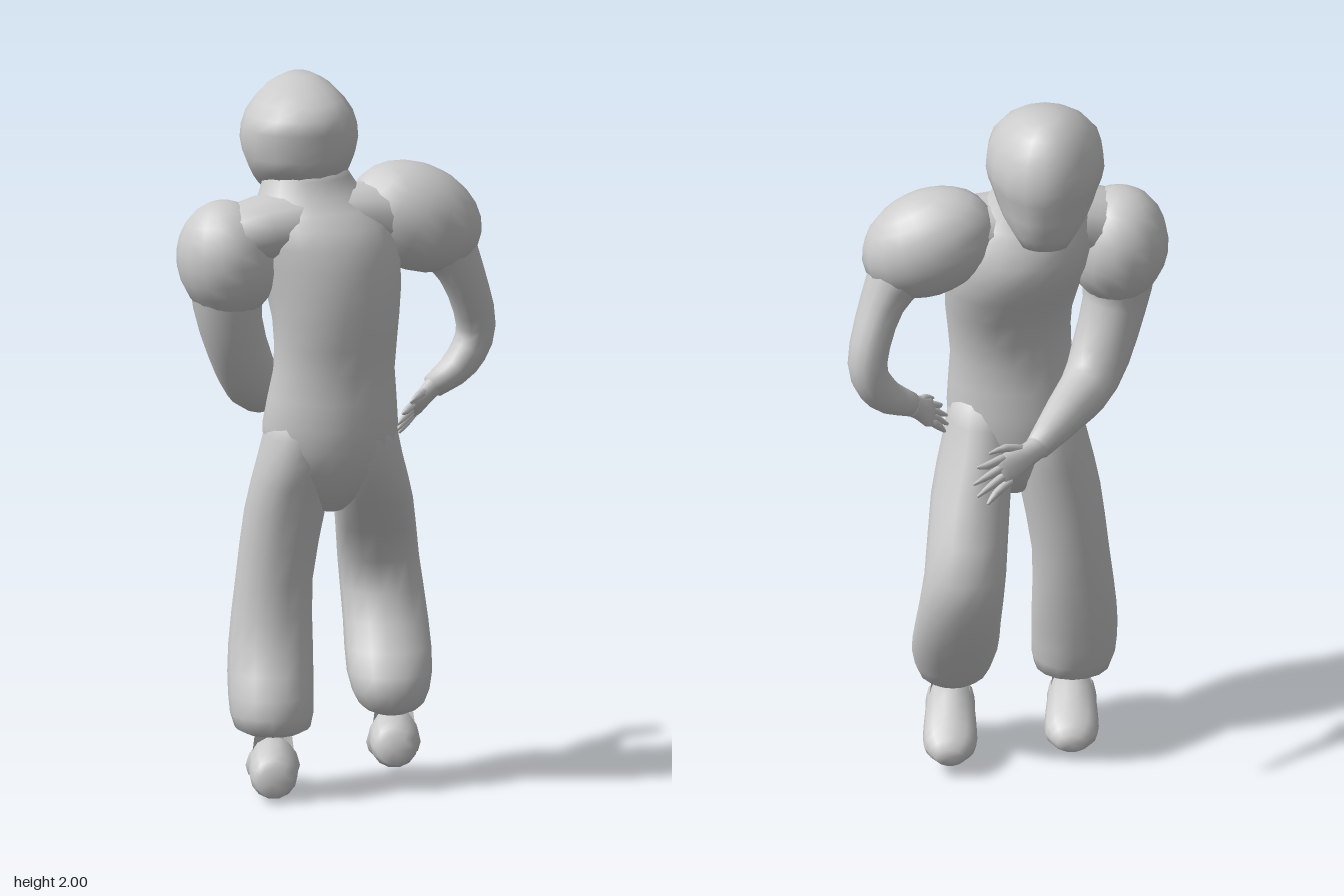
import * as THREE from 'three';

const V = (x, y, z) => new THREE.Vector3(x, y, z);
const UP = V(0, 1, 0), Z = V(0, 0, 1);
const material = new THREE.MeshStandardMaterial({ color: 0xcccccc });

function addMesh(parent, name, geometry) {
  const mesh = new THREE.Mesh(geometry, material);
  mesh.name = name;
  parent.add(mesh);
  return mesh;
}

// Smooth skin over elliptical rings [x, y, z, width, depth, twist].
// Depth runs along ref; without an axis the rings follow the path.
function loft(rings, { ref = Z, axis = null, sides = 14, steps = 2 } = {}) {
  const centres = new THREE.CatmullRomCurve3(rings.map(r => V(r[0], r[1], r[2])), false, 'catmullrom');
  const sizes = new THREE.CatmullRomCurve3(rings.map(r => V(r[3], r[4], r[5] || 0)), false, 'catmullrom');
  const n = (rings.length - 1) * steps;
  const pos = [], idx = [];
  for (let i = 0; i <= n; i++) {
    const c = centres.getPoint(i / n), s = sizes.getPoint(i / n);
    const t = axis || centres.getTangent(i / n);
    const a = V().crossVectors(t, ref).normalize();
    const b = V().crossVectors(a, t).normalize();
    for (let j = 0; j < sides; j++) {
      const u = (j / sides) * Math.PI * 2;
      const p = Math.cos(u) * Math.max(s.x, 0.003), q = Math.sin(u) * Math.max(s.y, 0.003);
      const cs = Math.cos(s.z), sn = Math.sin(s.z);
      const v = c.clone().addScaledVector(a, p * cs + q * sn).addScaledVector(b, q * cs - p * sn);
      pos.push(v.x, v.y, v.z);
    }
  }
  for (let i = 0; i < n; i++) {
    for (let j = 0; j < sides; j++) {
      const k = (j + 1) % sides;
      const p = i * sides + j, q = i * sides + k;
      idx.push(p, p + sides, q, q, p + sides, q + sides);
    }
  }
  // End caps
  const start = pos.length / 3, first = centres.getPoint(0), last = centres.getPoint(1);
  pos.push(first.x, first.y, first.z, last.x, last.y, last.z);
  for (let j = 0; j < sides; j++) {
    const k = (j + 1) % sides;
    idx.push(start, j, k, start + 1, n * sides + k, n * sides + j);
  }
  const g = new THREE.BufferGeometry();
  g.setAttribute('position', new THREE.Float32BufferAttribute(pos, 3));
  g.setIndex(idx);
  g.computeVertexNormals();
  return g;
}

// Flat open hand: palm, four spread fingers and a thumb
function makeHand(name, wrist, tip, spread) {
  const hand = new THREE.Group();
  hand.name = name;
  const at = (f, s) => wrist.clone().lerp(tip, f).addScaledVector(spread, s);
  const ring = (f, s, w, d) => [...at(f, s).toArray(), w, d];
  addMesh(hand, 'palm', loft([
    ring(-0.1, 0, 0.028, 0.032), ring(0.2, 0, 0.022, 0.034),
    ring(0.45, 0, 0.018, 0.044), ring(0.6, 0, 0.011, 0.038)], { ref: spread, sides: 10 }));
  for (let i = 0; i < 4; i++) {
    const s = (i - 1.5) * 0.022;
    const reach = [0.9, 1, 1, 0.88][i];
    addMesh(hand, 'finger', loft([
      ring(0.5, s, 0.012, 0.012), ring(0.75, s * 1.25, 0.011, 0.011),
      ring(reach, s * 1.6, 0.004, 0.004)], { ref: spread, sides: 6 }));
  }
  addMesh(hand, 'thumb', loft([
    ring(0.2, 0.02, 0.012, 0.014), ring(0.42, 0.052, 0.012, 0.012),
    ring(0.66, 0.066, 0.004, 0.004)], { ref: spread, sides: 6 }));
  return hand;
}

// Ankle and rounded shoe, toes towards -z
function makeFoot(name, position, pitch) {
  const foot = new THREE.Group();
  foot.name = name;
  addMesh(foot, 'ankle', loft([
    [0, 0.25, 0.22, 0.045, 0.055], [0, 0.16, 0.215, 0.053, 0.07],
    [0, 0.07, 0.22, 0.066, 0.09]], { axis: UP }));
  addMesh(foot, 'shoe', loft([
    [0, 0.06, 0.328, 0.045, 0.04], [0, 0.075, 0.29, 0.066, 0.066],
    [0, 0.088, 0.21, 0.068, 0.08], [0, 0.07, 0.13, 0.074, 0.065],
    [0, 0.054, 0.07, 0.072, 0.05], [0, 0.045, 0.025, 0.04, 0.026]],
  { ref: UP, axis: V(0, 0, -1) }));
  foot.position.copy(position);
  foot.rotation.x = pitch;
  return foot;
}

function addShoulder(parent, name, centre, size, tilt) {
  const ball = addMesh(parent, name, new THREE.SphereGeometry(1, 16, 12));
  ball.position.copy(centre);
  ball.scale.copy(size);
  ball.rotation.set(0, tilt[0], tilt[1]);
}

export function createModel() {
  const model = new THREE.Group();
  model.name = 'figure';

  // Head, narrowing towards the face
  const head = loft([
    [0, 1.635, -0.055, 0.07, 0.045], [0, 1.70, 0, 0.12, 0.13],
    [0, 1.76, 0.04, 0.145, 0.183], [0, 1.83, 0.04, 0.165, 0.195],
    [0, 1.91, 0.05, 0.148, 0.187], [0, 1.97, 0.03, 0.097, 0.125],
    [0, 2.0, 0.01, 0.04, 0.05]], { axis: UP, sides: 16 });
  const hp = head.attributes.position;
  for (let i = 0; i < hp.count; i++) hp.setX(i, hp.getX(i) * (0.97 + hp.getZ(i) * 0.6));
  head.computeVertexNormals();
  addMesh(model, 'head', head).position.x = -0.105;

  // Torso, turning from the hips to the chest
  addMesh(model, 'torso', loft([
    [-0.02, 0.80, 0.13, 0.04, 0.06, 0], [-0.02, 0.92, 0.15, 0.165, 0.13, 0],
    [-0.02, 1.05, 0.16, 0.187, 0.145, 0], [-0.01, 1.2, 0.165, 0.168, 0.135, 0.05],
    [-0.005, 1.35, 0.16, 0.178, 0.16, 0.15], [-0.025, 1.5, 0.125, 0.2, 0.195, 0.3],
    [-0.05, 1.61, 0.12, 0.195, 0.17, 0.35], [-0.075, 1.69, 0.105, 0.145, 0.115, 0.35],
    [-0.09, 1.78, 0.085, 0.1, 0.1, 0.3]], { axis: UP, sides: 20 }));

  // Slope of the upper back between the shoulders
  addMesh(model, 'shoulderYoke', loft([
    [-0.32, 1.56, 0.2, 0.09, 0.1], [-0.2, 1.6, 0.18, 0.095, 0.12],
    [-0.05, 1.62, 0.12, 0.085, 0.12], [0.08, 1.62, 0.08, 0.09, 0.11],
    [0.2, 1.6, 0.04, 0.1, 0.1]]));

  // Baggy trouser legs with gathered cuffs, one knee bent
  addMesh(model, 'straightLeg', loft([
    [-0.105, 1.08, 0.16, 0.085, 0.11], [-0.115, 0.95, 0.155, 0.107, 0.135],
    [-0.145, 0.8, 0.14, 0.112, 0.115],
    [-0.175, 0.6, 0.135, 0.107, 0.1], [-0.185, 0.42, 0.16, 0.117, 0.1],
    [-0.185, 0.29, 0.205, 0.118, 0.12], [-0.18, 0.2, 0.22, 0.105, 0.11],
    [-0.18, 0.18, 0.22, 0.045, 0.05]], { axis: V(0, -1, 0), sides: 16 }));
  addMesh(model, 'bentLeg', loft([
    [0.07, 1.08, 0.155, 0.085, 0.11], [0.075, 0.95, 0.125, 0.105, 0.14],
    [0.1, 0.81, 0.055, 0.11, 0.13],
    [0.115, 0.62, -0.065, 0.113, 0.095], [0.135, 0.45, -0.025, 0.118, 0.1],
    [0.145, 0.32, 0.06, 0.118, 0.115], [0.15, 0.235, 0.085, 0.09, 0.085],
    [0.15, 0.21, 0.09, 0.045, 0.05]], { axis: V(0, -1, 0), sides: 16 }));
  model.add(makeFoot('straightLegFoot', V(-0.178, 0, 0), 0));
  model.add(makeFoot('bentLegFoot', V(0.157, 0.022, -0.13), -0.12));

  // Arm bent back to the hip
  addShoulder(model, 'hipArmShoulder', V(0.215, 1.6, 0.03), V(0.195, 0.148, 0.142), [0.1, -0.45]);
  addMesh(model, 'hipArm', loft([
    [0.27, 1.57, 0.02, 0.1, 0.1], [0.345, 1.43, -0.01, 0.064, 0.078],
    [0.385, 1.27, -0.062, 0.055, 0.062], [0.345, 1.17, -0.045, 0.05, 0.055],
    [0.265, 1.11, 0, 0.034, 0.035]], { steps: 3 }));
  model.add(makeHand('hipHand', V(0.265, 1.11, 0), V(0.165, 1.015, 0.095), V(0.07, 0.58, 0.4)));

  // Arm reaching across the front
  addShoulder(model, 'reachingArmShoulder', V(-0.305, 1.515, 0.19), V(0.14, 0.168, 0.148), [0.3, 0.15]);
  addMesh(model, 'reachingArm', loft([
    [-0.31, 1.48, 0.19, 0.11, 0.11], [-0.295, 1.33, 0.18, 0.086, 0.09],
    [-0.235, 1.15, 0.1, 0.073, 0.08], [-0.165, 1.105, -0.03, 0.058, 0.062],
    [-0.085, 1.06, -0.16, 0.034, 0.037]], { ref: V(0.4, 0.8, 0.2).normalize(), steps: 3 }));
  model.add(makeHand('reachingHand', V(-0.085, 1.06, -0.16), V(0.085, 1.015, -0.335), V(0.3, 0.95, 0.2)));

  return model;
}
